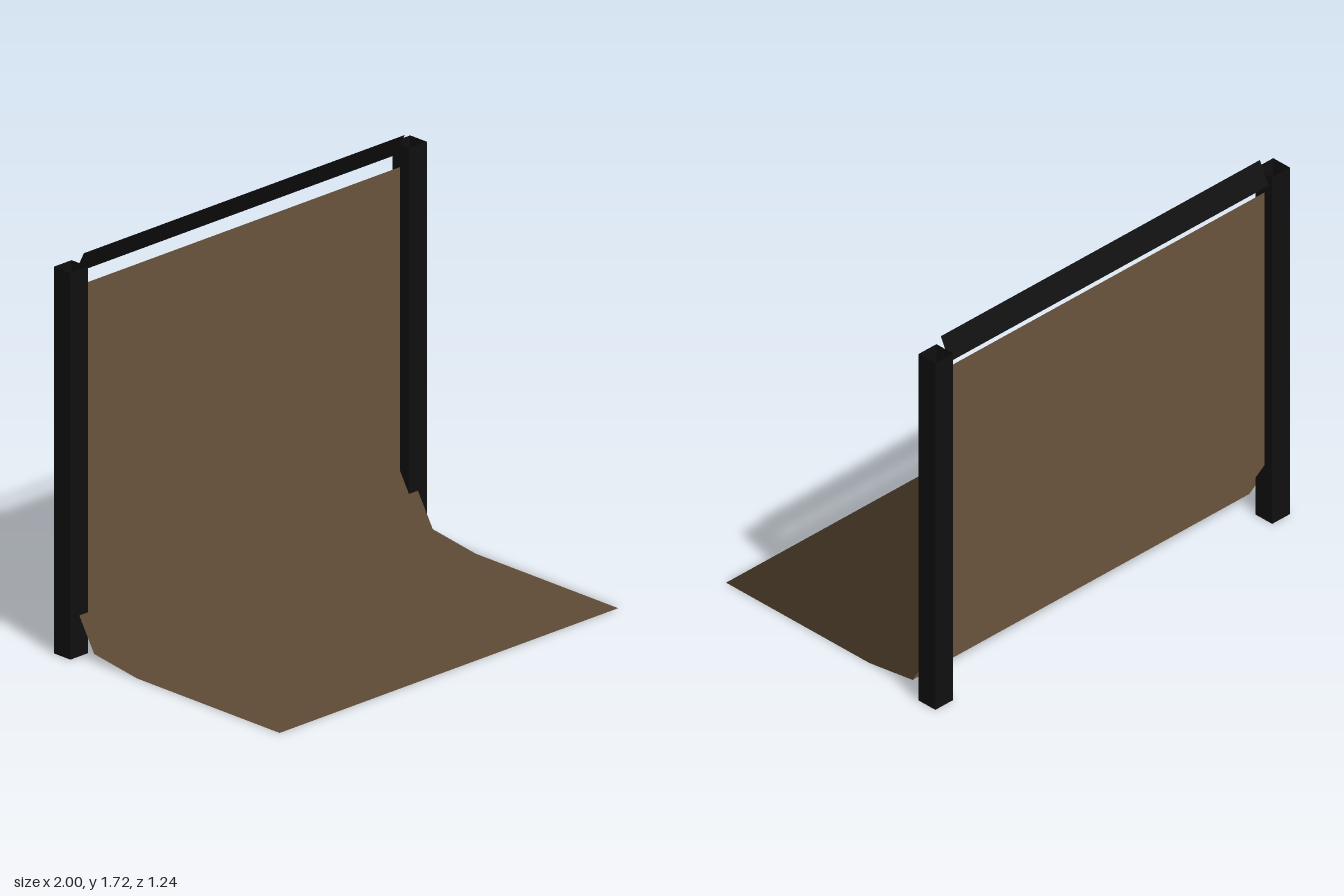
import * as THREE from 'three';

export function createModel() {
  const group = new THREE.Group();
  const frameBlack = new THREE.MeshStandardMaterial({ color: 0x101010, side: THREE.DoubleSide });
  frameBlack.name = 'frameBlack';
  const sheetBrown = new THREE.MeshStandardMaterial({ color: 0x6b553d, side: THREE.DoubleSide });
  sheetBrown.name = 'sheetBrown';

  const add = (name, geometry, material) => {
    const mesh = new THREE.Mesh(geometry, material);
    mesh.name = name;
    group.add(mesh);
    return mesh;
  };

  // Two upright posts: square tubes, open at both ends
  const postHeight = 1.67;
  const postGeometry = new THREE.CylinderGeometry(0.05 * Math.SQRT2, 0.05 * Math.SQRT2, postHeight, 4, 1, true)
    .rotateY(Math.PI / 4)
    .scale(1, 1, 0.95)
    .toNonIndexed();
  postGeometry.computeVertexNormals();
  for (const [name, side] of [['leftPost', 1], ['rightPost', -1]]) {
    add(name, postGeometry, frameBlack).position.set(side * 0.95, postHeight / 2, -0.5725);
  }

  // Crossbar: a thin strip leaning forward between the posts
  const bar = add('crossbar', new THREE.PlaneGeometry(1.8, Math.hypot(0.1, 0.05)), frameBlack);
  bar.rotation.x = Math.atan2(0.05, 0.1);
  bar.position.set(0, 1.67, -0.575);

  // Backdrop sheet: hangs from the top and sweeps out over the floor.
  // The flat sheet's normals are kept so the sweep shades as one even surface.
  const profile = [[1.575, -0.575], [0.26, -0.575], [0.035, -0.44], [0, -0.195], [0, 0.62]]; // y, z
  const sheet = new THREE.PlaneGeometry(1.9, 1, 1, profile.length - 1);
  const position = sheet.attributes.position;
  for (let i = 0; i < position.count; i++) {
    const [y, z] = profile[Math.floor(i / 2)];
    position.setY(i, y);
    position.setZ(i, z);
  }
  add('backdropSheet', sheet, sheetBrown);

  return group;
}
